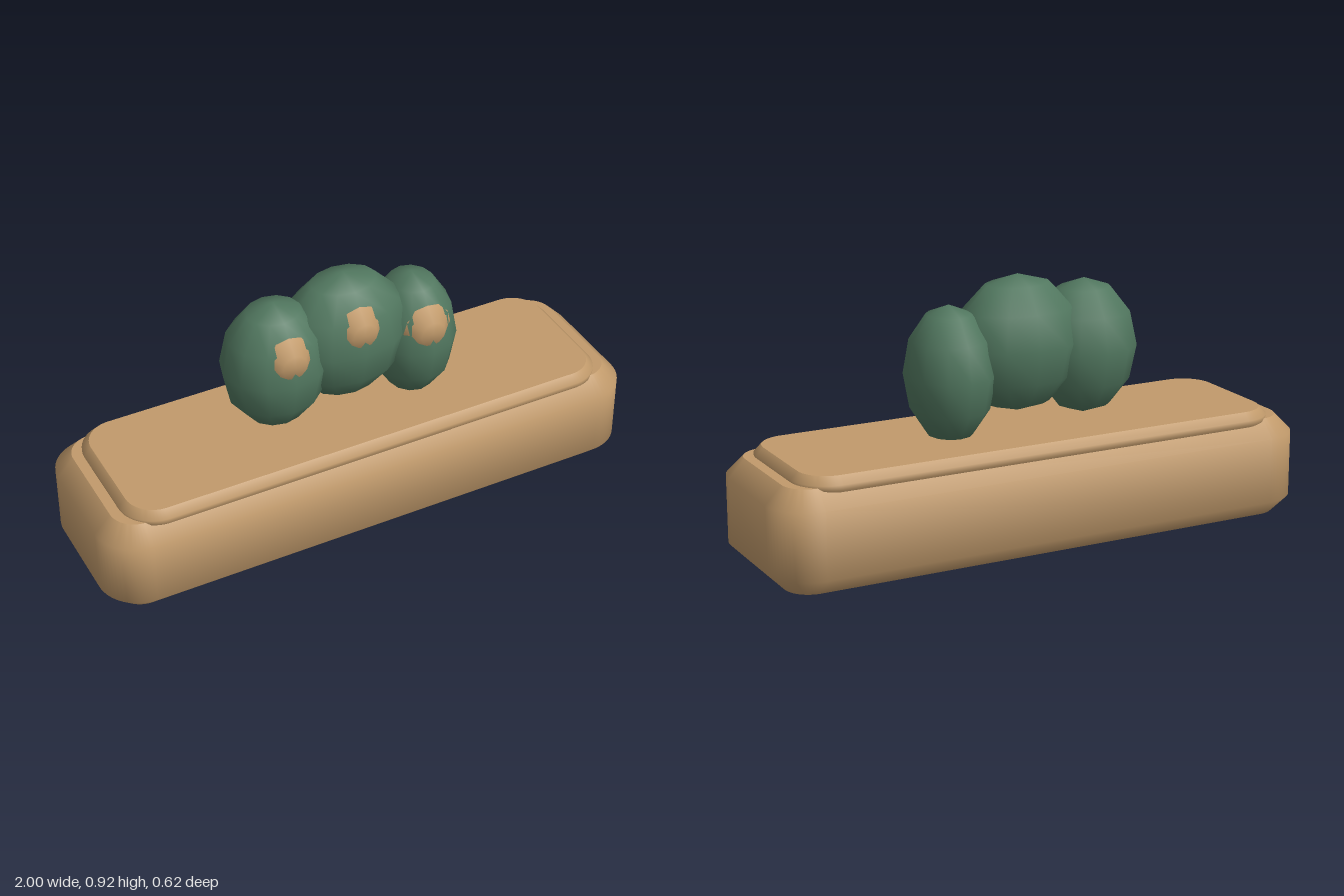
import * as THREE from 'three';
import { toCreasedNormals } from 'three/addons/utils/BufferGeometryUtils.js';

// Slab with rounded plan corners and a single chamfer on its top and bottom edges
function slab(halfX, halfZ, radius, y0, y1, bevel) {
  const size = bevel * 0.985, thick = bevel * 1.015; // keeps caps crisp, sides soft
  const x = halfX - size, z = halfZ - size, r = radius - size;
  const s = new THREE.Shape();
  s.moveTo(-x + r, -z);
  s.lineTo(x - r, -z);
  s.absarc(x - r, -z + r, r, -Math.PI / 2, 0);
  s.lineTo(x, z - r);
  s.absarc(x - r, z - r, r, 0, Math.PI / 2);
  s.lineTo(-x + r, z);
  s.absarc(-x + r, z - r, r, Math.PI / 2, Math.PI);
  s.lineTo(-x, -z + r);
  s.absarc(-x + r, -z + r, r, Math.PI, Math.PI * 1.5);
  const g = new THREE.ExtrudeGeometry(s, {
    depth: y1 - y0 - 2 * thick, bevelThickness: thick, bevelSize: size,
    bevelSegments: 1, curveSegments: 8,
  });
  g.rotateX(-Math.PI / 2);
  g.translate(0, y0 + thick, 0);
  return toCreasedNormals(g, Math.PI / 4);
}

export function createModel() {
  const model = new THREE.Group();
  const tan = new THREE.MeshStandardMaterial({ color: 0xc19a6b });
  tan.name = 'tan';
  const green = new THREE.MeshStandardMaterial({ color: 0x51775f });
  green.name = 'green';

  const add = (name, geometry, material, x = 0, y = 0, z = 0) => {
    const mesh = new THREE.Mesh(geometry, material);
    mesh.name = name;
    mesh.position.set(x, y, z);
    model.add(mesh);
    return mesh;
  };

  // Base and raised top
  add('base', slab(1, 0.31, 0.15, 0, 0.356, 0.06), tan);
  add('topSlab', slab(0.905, 0.277, 0.13, 0.32, 0.39, 0.026), tan);

  // Knuckle-like lobes, each with a tan pad showing through the upper front
  const lobeGeometry = new THREE.SphereGeometry(1, 12, 6);
  const padProfile = [[0.1, 0.06], [0.09, 0.115], [0.045, 0.16], [0, 0.16]];
  const padGeometry = new THREE.LatheGeometry(
    padProfile.map(([r, h]) => new THREE.Vector2(r, h)), 12);
  padGeometry.rotateX(Math.PI / 2);

  const lobes = [
    ['right', -0.26, 0.64, 0.19],
    ['middle', 0, 0.68, 0.235],
    ['left', 0.26, 0.6, 0.155],
  ];
  for (const [side, x, y, rx] of lobes) {
    add(side + 'Lobe', lobeGeometry, green, x, y).scale.set(rx, 0.24, 0.17);
    add(side + 'Pad', padGeometry, tan, x, y + 0.077);
  }
  return model;
}
